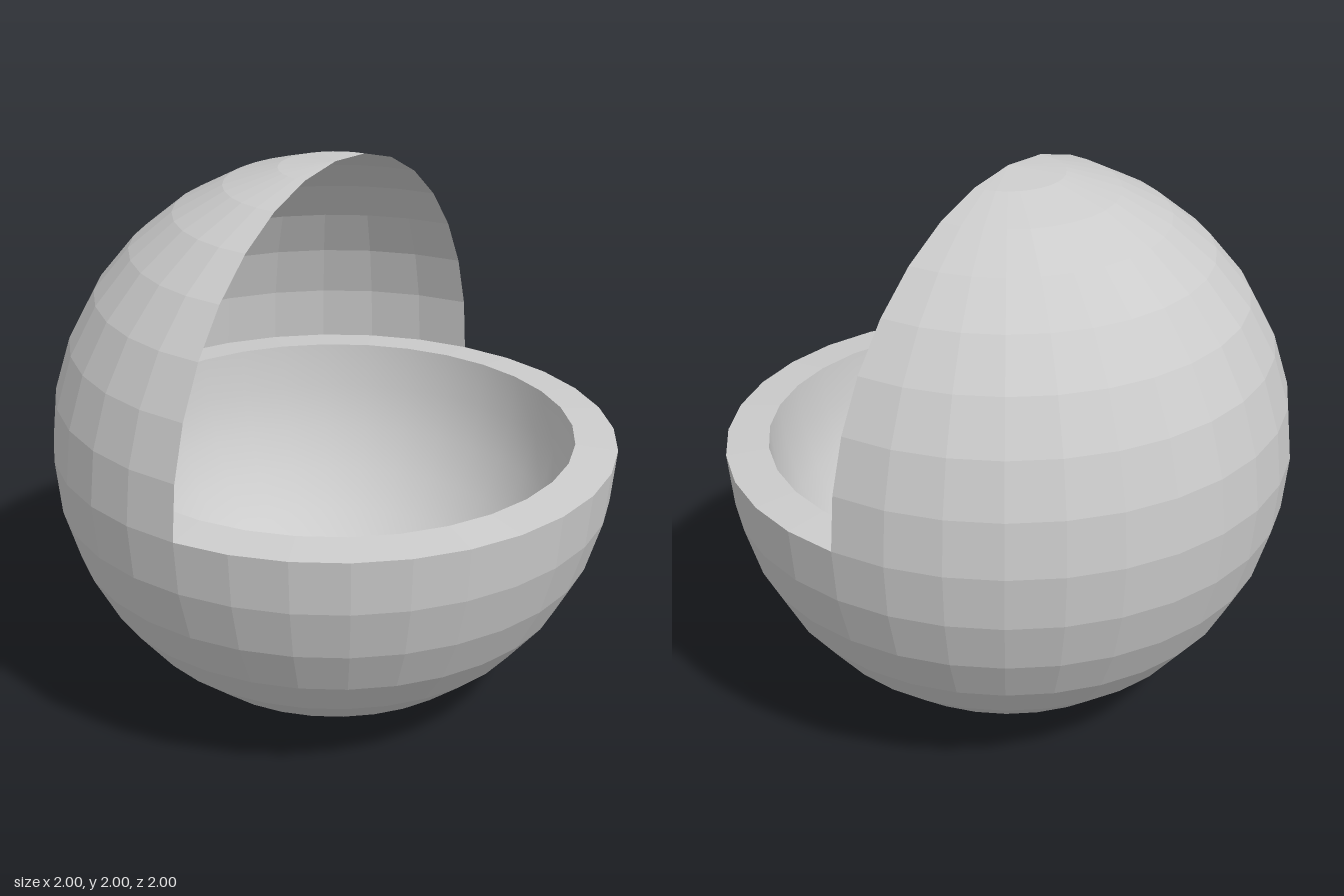
import * as THREE from 'three';

const SEGMENTS = 32;
const RINGS = 8;
const INNER = 0.85;
const RIM_Y = 1.015;

// Quarter-circle profile from the pole below to the equator
function arc(radius, centreY, depth) {
  return Array.from({ length: RINGS + 1 }, (_, i) => {
    const a = (i / RINGS) * Math.PI / 2;
    return new THREE.Vector2(radius * Math.sin(a), centreY - depth * Math.cos(a));
  });
}

export function createModel() {
  const group = new THREE.Group();
  const faceted = new THREE.MeshStandardMaterial({ color: 0xcccccc, flatShading: true, side: THREE.DoubleSide });
  const smooth = new THREE.MeshStandardMaterial({ color: 0xcccccc, side: THREE.DoubleSide });

  const add = (name, geometry, material) => {
    const mesh = new THREE.Mesh(geometry, material);
    mesh.name = name;
    group.add(mesh);
    return mesh;
  };

  // Faceted outer half of the bowl
  add('bowlOutside', new THREE.LatheGeometry(arc(1, 1, 1), SEGMENTS), faceted);

  // Rim, rising slightly towards the inside
  const rim = [new THREE.Vector2(1, 1), new THREE.Vector2(INNER, RIM_Y)];
  add('bowlRim', new THREE.LatheGeometry(rim, SEGMENTS), faceted);

  // Smooth hollow, profile run from the rim down so it faces inwards
  const hollow = arc(INNER, RIM_Y, INNER).reverse();
  add('bowlInside', new THREE.LatheGeometry(hollow, SEGMENTS), smooth);

  // Thin quarter-sphere hood over the -x half
  const hood = new THREE.SphereGeometry(1, SEGMENTS / 2, RINGS, -Math.PI / 2, Math.PI, 0, Math.PI / 2);
  add('hood', hood, faceted).position.y = 1;

  return group;
}
